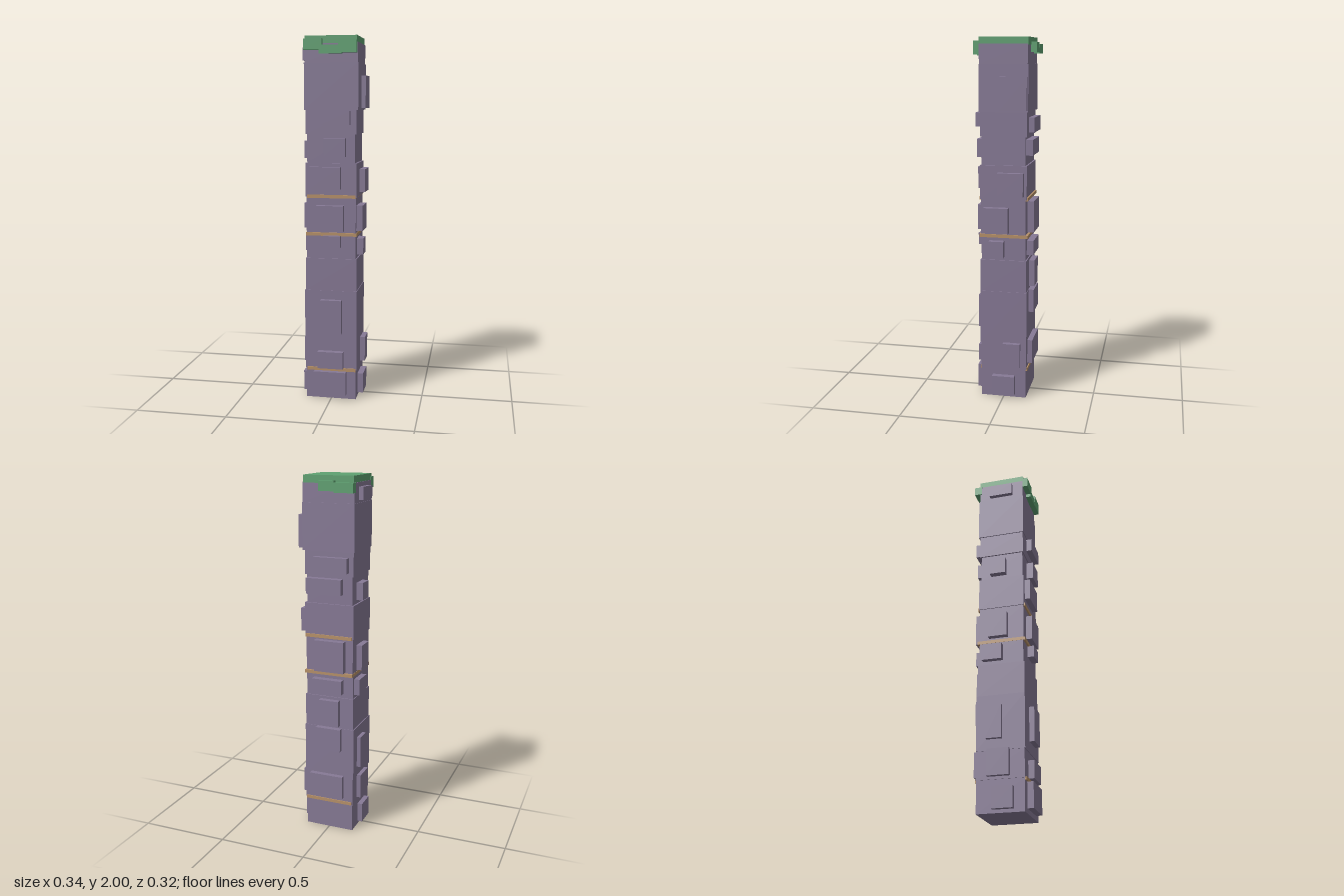
import * as THREE from 'three';

export function createModel() {
  const model = new THREE.Group();
  model.name = 'stonePillar';
  const mat = (name, color) => {
    const m = new THREE.MeshStandardMaterial({ color });
    m.name = name;
    return m;
  };
  const stone = mat('purple stone', 0x877a96);
  const moss = mat('green moss', 0x5fa171);
  const band = mat('tan mortar', 0xb8926a);

  // Box given by its two extremes on each axis
  const block = (name, material, x0, x1, y0, y1, z0, z1) => {
    const mesh = new THREE.Mesh(new THREE.BoxGeometry(x1 - x0, y1 - y0, z1 - z0), material);
    mesh.position.set((x0 + x1) / 2, (y0 + y1) / 2, (z0 + z1) / 2);
    mesh.name = name;
    model.add(mesh);
  };

  // Stacked shaft courses: y0, y1, x0, x1, z0, z1
  [
    [0, 0.17, -0.142, 0.138, -0.127, 0.127],
    [0.17, 0.32, -0.145, 0.142, -0.13, 0.128],
    [0.32, 0.62, -0.148, 0.143, -0.13, 0.132],
    [0.62, 0.8, -0.143, 0.14, -0.127, 0.13],
    [0.8, 0.935, -0.139, 0.134, -0.121, 0.124],
    [0.935, 1.14, -0.138, 0.135, -0.122, 0.126],
    [1.14, 1.325, -0.143, 0.139, -0.128, 0.13],
    [1.325, 1.48, -0.134, 0.129, -0.119, 0.122],
    [1.48, 1.61, -0.142, 0.137, -0.127, 0.128],
    [1.61, 1.86, -0.148, 0.147, -0.135, 0.132],
    [1.86, 1.965, -0.145, 0.144, -0.131, 0.13],
  ].forEach(([y0, y1, ...r]) => block('shaftCourse', stone, r[0], r[1], y0, y1, r[2], r[3]));

  // Mortar bands between courses: y0, y1, half width
  [[0.16, 0.178, 0.137], [0.927, 0.945, 0.14], [1.135, 1.153, 0.135]].forEach(([y0, y1, w]) =>
    block('mortarBand', band, -w, w, y0, y1, -0.135, 0.134));

  // Raised front stones: x0, x1, y0, y1
  [
    [-0.06, 0.106, 1.53, 1.605],
    [-0.037, 0.08, 1.36, 1.46],
    [-0.117, 0.053, 1.185, 1.305],
    [-0.08, 0.07, 0.955, 1.095],
    [-0.042, 0.053, 0.865, 0.93],
    [-0.058, 0.06, 0.38, 0.57],
    [-0.074, 0.07, 0.18, 0.275],
    [-0.095, 0.085, 0.025, 0.16],
  ].forEach((r) => block('frontStone', stone, ...r, 0.11, 0.16));

  // Raised back stones
  [
    [-0.115, 0.077, 1.5, 1.58],
    [-0.08, 0.12, 1.38, 1.465],
    [-0.095, 0.077, 0.95, 1.125],
    [-0.083, 0.09, 0.825, 0.905],
    [-0.065, 0.05, 0.635, 0.785],
    [-0.077, 0.07, 0.49, 0.62],
    [-0.09, 0.108, 0.2, 0.335],
  ].forEach((r) => block('backStone', stone, ...r, -0.158, -0.11));

  // Raised left stones: z0, z1, y0, y1
  [
    [-0.131, 0.018, 1.62, 1.795],
    [-0.112, 0.03, 1.16, 1.287],
    [-0.03, 0.108, 0.955, 1.095],
    [-0.005, 0.08, 0.82, 0.91],
    [-0.096, 0, 0.185, 0.325],
    [-0.065, 0.062, 0.018, 0.13],
  ].forEach(([z0, z1, y0, y1]) => block('leftStone', stone, 0.12, 0.17, y0, y1, z0, z1));

  // Raised right stones
  [
    [-0.067, 0.07, 1.875, 1.942],
    [-0.06, 0.03, 1.345, 1.44],
    [-0.067, 0.04, 0.955, 1.095],
    [-0.1, 0.01, 0.82, 0.91],
    [-0.075, 0.01, 0.38, 0.56],
    [-0.067, 0.05, 0.185, 0.325],
    [-0.04, 0.07, 0.018, 0.13],
  ].forEach(([z0, z1, y0, y1]) => block('rightStone', stone, -0.17, -0.12, y0, y1, z0, z1));

  // Mossy cap with clumps hanging over the front and back
  block('mossCap', moss, -0.142, 0.14, 1.96, 2, -0.133, 0.132);
  block('frontMoss', moss, -0.145, -0.045, 1.925, 1.983, 0.12, 0.16);
  block('frontMoss', moss, -0.062, 0.062, 1.905, 1.95, 0.12, 0.159);
  block('frontMoss', moss, 0.043, 0.142, 1.91, 1.98, 0.12, 0.16);
  block('backMoss', moss, -0.15, -0.043, 1.915, 1.965, -0.163, -0.12);
  block('backMoss', moss, -0.043, 0.042, 1.922, 1.975, -0.162, -0.12);

  return model;
}
